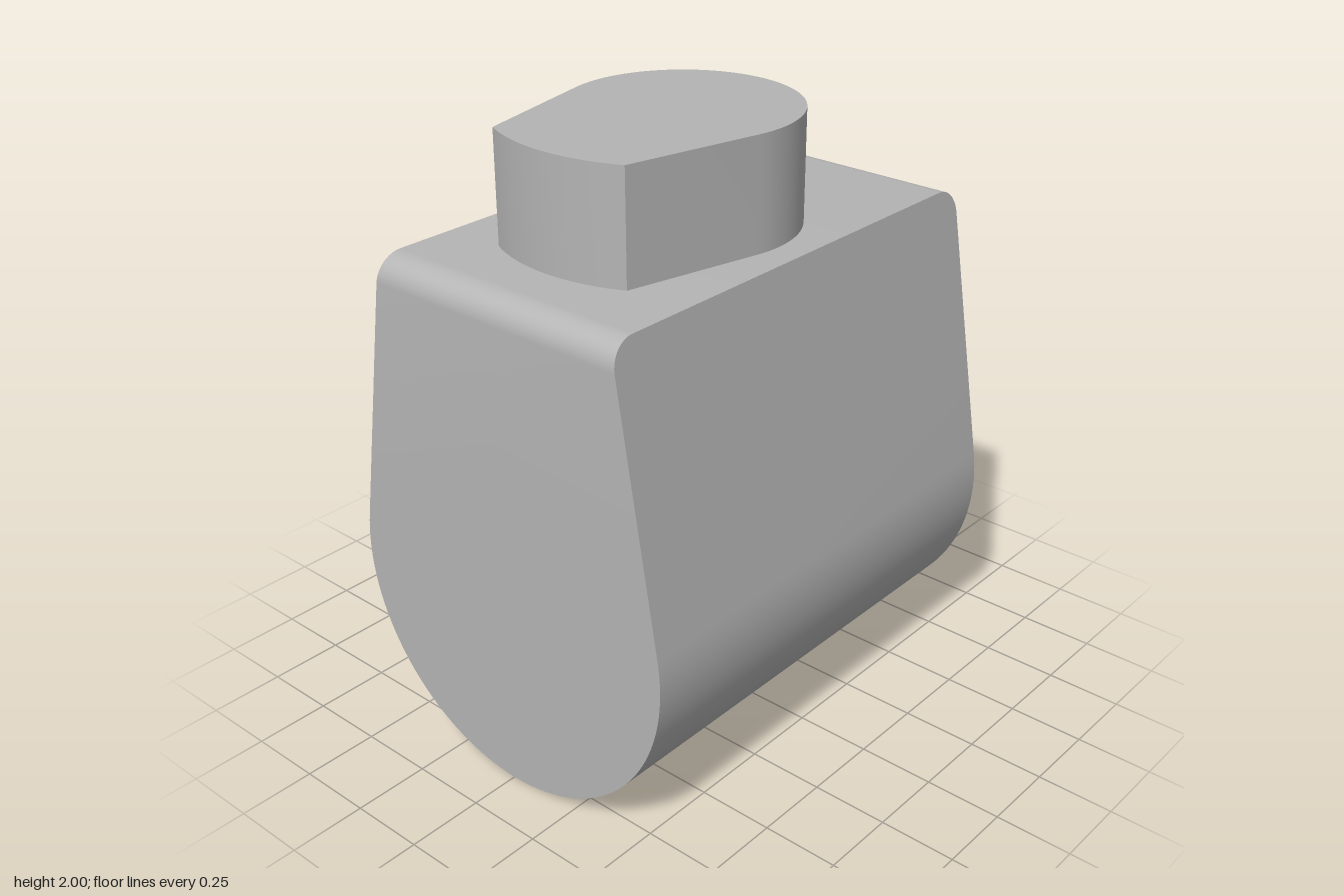
import * as THREE from 'three';
import { toCreasedNormals } from 'three/addons/utils/BufferGeometryUtils.js';

const grey = new THREE.MeshStandardMaterial({ color: 0xb4b4b4 });
grey.name = 'grey';
const rad = THREE.MathUtils.degToRad;

// Points along an arc, from angle a to angle b (radians)
function arc(cx, cy, r, a, b, n) {
  return Array.from({ length: n + 1 }, (_, i) => {
    const t = a + ((b - a) * i) / n;
    return new THREE.Vector2(cx + r * Math.cos(t), cy + r * Math.sin(t));
  });
}

function part(name, geometry) {
  const mesh = new THREE.Mesh(toCreasedNormals(geometry, rad(30)), grey);
  mesh.name = name;
  return mesh;
}

function extrude(points, depth, holes = []) {
  const shape = new THREE.Shape(points);
  shape.holes = holes.map((h) => new THREE.Path(h));
  return new THREE.ExtrudeGeometry(shape, { depth, bevelEnabled: false });
}

// Surface through a stack of closed rings of equal length
function loft(rings, capTop) {
  const n = rings[0].length, index = [];
  for (let j = 0; j < rings.length - 1; j++) {
    for (let i = 0; i < n; i++) {
      const a = j * n + i, b = j * n + ((i + 1) % n);
      index.push(a, b, b + n, a, b + n, a + n);
    }
  }
  const top = (rings.length - 1) * n;
  if (capTop) for (let i = 1; i < n - 1; i++) index.push(top, top + i, top + i + 1);
  const geometry = new THREE.BufferGeometry();
  geometry.setAttribute('position', new THREE.Float32BufferAttribute(rings.flat(2), 3));
  geometry.setIndex(index);
  return geometry;
}

// Housing: round bottom, tapering sides, rounded front and back top edges
function housing() {
  const R = 0.622, topY = 1.64, topW = 0.46, fillet = 0.085, front = 0.835, back = -0.77;
  const rows = arc(0, R, R, -Math.PI / 2, rad(9.5), 40).map((p) => [p.x, p.y, 0]);
  const [tx, ty] = rows[rows.length - 1];
  for (let i = 0; i <= 10; i++) {
    const t = (i / 10) * Math.PI / 2;
    const y = topY - fillet + fillet * Math.sin(t);
    const w = tx + ((topW - tx) * (y - ty)) / (topY - ty);
    rows.push([w, y, fillet * (1 - Math.cos(t))]);
  }
  return loft(rows.map(([w, y, inset]) => [
    [w, y, front - inset], [w, y, back + inset], [-w, y, back + inset], [-w, y, front - inset],
  ]), true);
}

// Neck outline: round back, straight tapering sides, shallow curved front
function neckOutline() {
  const half = Math.atan2(0.255, 0.512);
  return [
    ...arc(0, -0.025, 0.367, rad(-13), rad(193), 56),
    ...arc(0, -0.038, 0.572, -Math.PI / 2 - half, -Math.PI / 2 + half, 16),
  ];
}

// C-shaped plate outline, shrunk by an inset
function plateOutline(inset) {
  const R = 0.475, hole = 0.19, c = 0.05, x = 0.08 + c, r = c - inset;
  const yo = Math.sqrt((R - c) ** 2 - x * x), yi = Math.sqrt((hole + c) ** 2 - x * x);
  const ao = Math.atan2(yo, x), ai = Math.atan2(yi, x), PI = Math.PI;
  return [
    ...arc(0, 0, R - inset, PI - ao, 2 * PI + ao, 72),
    ...arc(x, yo, r, ao, PI, 8).slice(1),
    ...arc(x, yi, r, PI, PI + ai, 6),
    ...arc(0, 0, hole + inset, ai, -PI - ai, 48).slice(1),
    ...arc(-x, yi, r, -ai, 0, 6).slice(1),
    ...arc(-x, yo, r, 0, PI - ao, 8).slice(0, -1),
  ];
}

// One outline around six round recesses joined by narrow grooves
function recessOutline(nodes) {
  const r = 0.068, delta = Math.asin(0.009 / r), points = [];
  const walk = [0, 1, 2, 3, 4, 5, 4, 3, 2, 1].map((i) => nodes[i]);
  walk.forEach((p, i) => {
    const prev = walk[(i + 9) % 10], next = walk[(i + 1) % 10];
    const a = Math.atan2(prev.y - p.y, prev.x - p.x) + delta;
    let b = Math.atan2(next.y - p.y, next.x - p.x) - delta;
    while (b <= a) b += 2 * Math.PI;
    points.push(...arc(p.x, p.y, r, a, b, 16));
  });
  return points;
}

function mountingPlate() {
  const group = new THREE.Group();
  group.name = 'mountingPlate';
  const edge = 0.012, baseDepth = 0.053;
  const nodes = [120, 180, 240, 300, 360, 420].map(
    (d) => new THREE.Vector2(0.35 * Math.cos(rad(d)), 0.35 * Math.sin(rad(d))));

  // Base with the small screw holes
  const screwHoles = nodes.map((p) => arc(p.x, p.y, 0.034, 0, 2 * Math.PI, 20).slice(0, -1));
  group.add(part('plateBase', extrude(plateOutline(0), baseDepth, screwHoles)));

  // Face layer with the recesses cut through it
  const face = part('plateFace', extrude(plateOutline(edge), edge, [recessOutline(nodes)]));
  face.position.z = baseDepth;
  group.add(face);

  // Rounded edge between base and face
  const rings = [0, 1, 2, 3].map((k) => {
    const t = (k / 3) * Math.PI / 2;
    return plateOutline(edge * (1 - Math.cos(t)))
      .map((p) => [p.x, p.y, baseDepth + edge * Math.sin(t)]);
  });
  group.add(part('plateEdge', loft(rings, false)));

  group.position.set(0, 0.615, -0.77);
  group.rotation.y = Math.PI;
  return group;
}

export function createModel() {
  const model = new THREE.Group();
  model.name = 'housingWithNeck';
  model.add(part('housing', housing()));

  const neck = part('neck', extrude(neckOutline(), 0.37));
  neck.rotation.x = -Math.PI / 2;
  neck.position.y = 1.63;
  model.add(neck);

  model.add(mountingPlate());
  return model;
}
